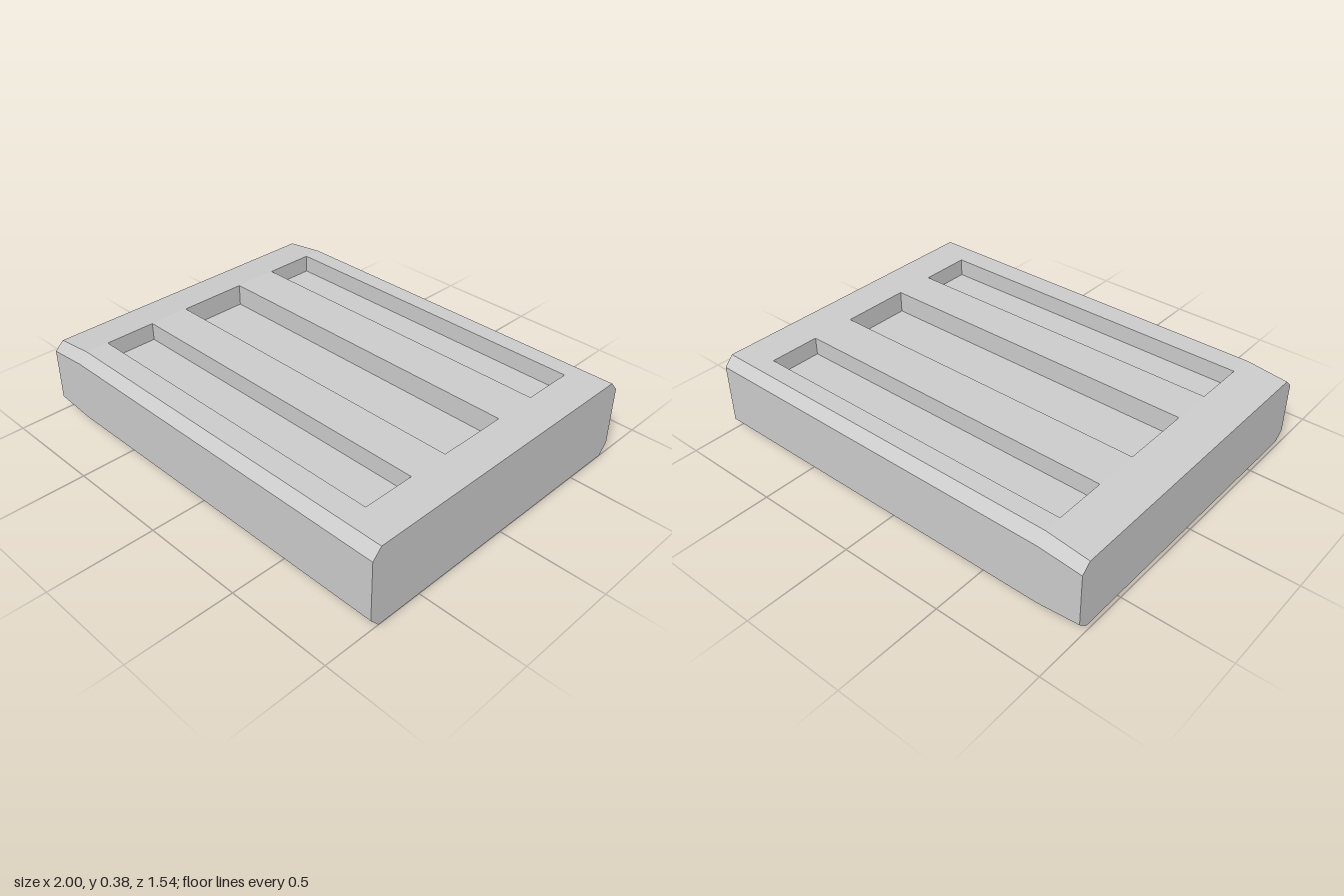
import * as THREE from 'three';

const H = 0.385;              // overall height
const X0 = -1, XT = -0.8, X1 = 1; // tapered end, start of taper, square end
const SLOT_X = [-0.797, 0.817];
// z range of each slot, with its depth on the top and on the bottom
const SLOTS = [
  { z: [-0.637, -0.39], top: 0.086, bottom: 0.086 },
  { z: [-0.173, 0.165], top: 0.105, bottom: 0.086 },
  { z: [0.363, 0.613], top: 0.086, bottom: 0.086 },
];

const material = new THREE.MeshStandardMaterial({ color: 0xcccccc, flatShading: true });

function mesh(name, geometry) {
  const m = new THREE.Mesh(geometry, material);
  m.name = name;
  return m;
}

// Flat-shaded geometry from convex polygons, each a list of [x, y, z] corners
function fromPolygons(polygons) {
  const pos = [];
  for (const p of polygons) {
    for (let i = 1; i < p.length - 1; i++) pos.push(...p[0], ...p[i], ...p[i + 1]);
  }
  const g = new THREE.BufferGeometry();
  g.setAttribute('position', new THREE.Float32BufferAttribute(pos, 3));
  g.computeVertexNormals();
  return g;
}

// Chamfered eight-sided cross-section at x; the y levels run bottom to top
function section(x, [y0, y1, y2, y3]) {
  const a = 0.725, b = 0.768;
  return [[a, y0], [b, y1], [b, y2], [a, y3], [-a, y3], [-b, y2], [-b, y1], [-a, y0]]
    .map(([z, y]) => [x, y, z]);
}

// Sides, chamfers, ends and the sloping strips of the tapered end
function bodyShell() {
  const full = [0, 0.05, 0.338, H];
  const rings = [section(X0, [0.03, 0.07, 0.32, 0.36]), section(XT, full), section(X1, full)];
  const polygons = [rings[0], [...rings[2]].reverse()];
  for (let r = 0; r < 2; r++) {
    for (let i = 0; i < 8; i++) {
      if (r === 1 && (i === 3 || i === 7)) continue; // slotted panels go here
      const j = (i + 1) % 8;
      polygons.push([rings[r][i], rings[r + 1][i], rings[r + 1][j], rings[r][j]]);
    }
  }
  return fromPolygons(polygons);
}

function rectangle(path, [xa, xb], [za, zb]) {
  path.moveTo(xa, za).lineTo(xb, za).lineTo(xb, zb).lineTo(xa, zb).closePath();
  return path;
}

// Flat face with slot openings; side is 1 for the top, -1 for the bottom
function slottedPanel(side) {
  const shape = rectangle(new THREE.Shape(), [XT, X1], [-0.725, 0.725]);
  for (const s of SLOTS) {
    shape.holes.push(rectangle(new THREE.Path(), SLOT_X, s.z.map((z) => -side * z)));
  }
  const g = new THREE.ShapeGeometry(shape);
  g.rotateX(-side * Math.PI / 2);
  g.translate(0, side > 0 ? H : 0, 0);
  return g;
}

// Four walls and floor of one recessed slot, facing inwards
function pocket(slot, side) {
  const rimY = side > 0 ? H : 0;
  const floorY = side > 0 ? H - slot.top : slot.bottom;
  const [xa, xb] = SLOT_X, [za, zb] = slot.z;
  const corners = [[xa, zb], [xb, zb], [xb, za], [xa, za]];
  const rim = corners.map(([x, z]) => [x, rimY, z]);
  const floor = corners.map(([x, z]) => [x, floorY, z]);
  const polygons = [floor];
  for (let i = 0; i < 4; i++) {
    const j = (i + 1) % 4;
    polygons.push([rim[i], rim[j], floor[j], floor[i]]);
  }
  return fromPolygons(side > 0 ? polygons : polygons.map((p) => [...p].reverse()));
}

export function createModel() {
  const group = new THREE.Group();
  group.name = 'slottedBlock';
  group.add(mesh('bodyShell', bodyShell()));
  for (const [label, side] of [['top', 1], ['bottom', -1]]) {
    group.add(mesh(label + 'Panel', slottedPanel(side)));
    SLOTS.forEach((s, i) => group.add(mesh(label + 'Slot' + (i + 1), pocket(s, side))));
  }
  return group;
}
